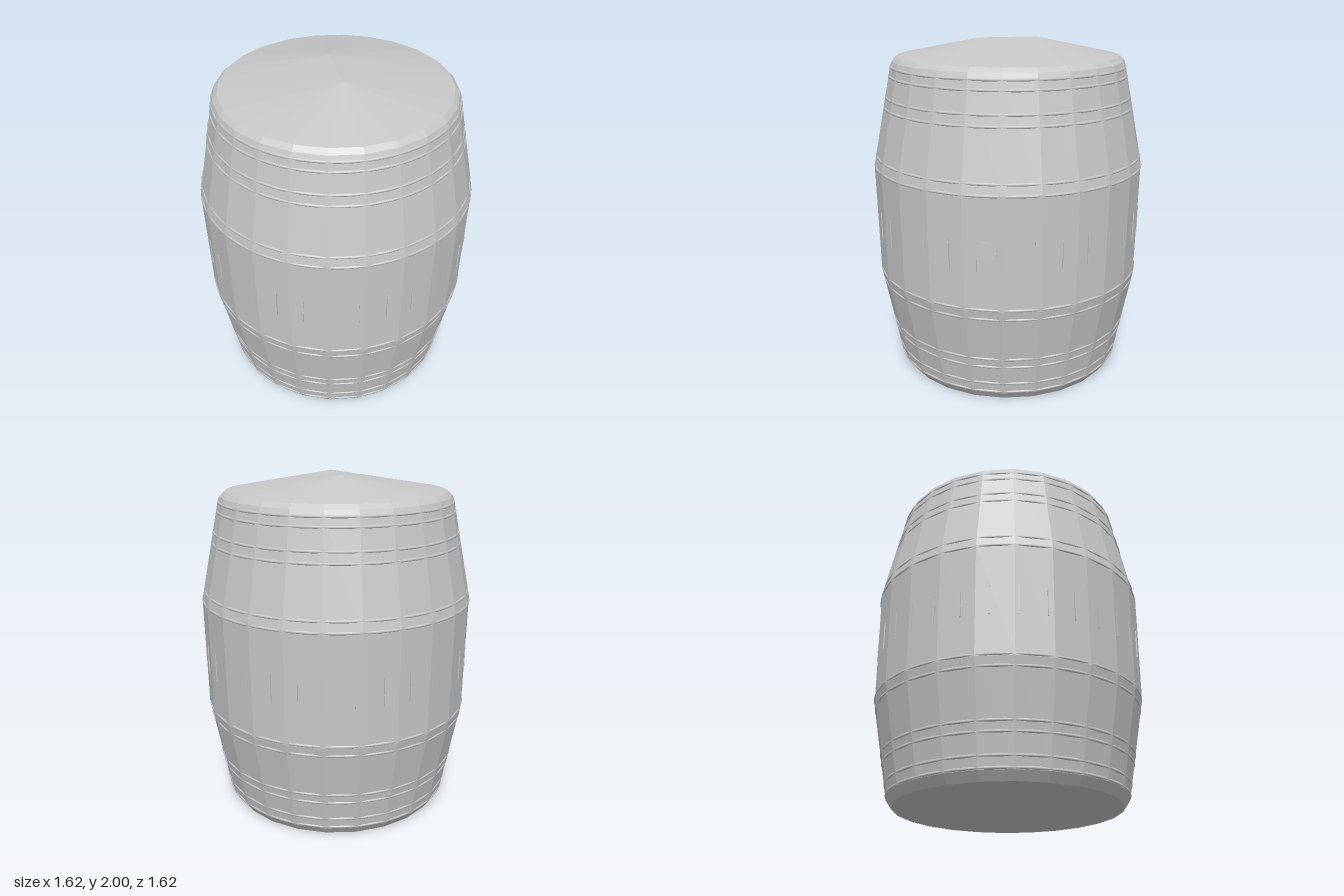
import * as THREE from 'three';

const SIDES = 24;
// barrel profile from bottom to top: [radius, height]
const PROFILE = [[0, 0], [0.66, 0], [0.695, 0.05], [0.8, 0.61], [0.81, 1.27], [0.692, 1.85], [0.682, 1.875], [0.655, 1.9]];

// hull radius at a given height
function radiusAt(y) {
  for (let i = 2; i < PROFILE.length; i++) {
    const [r0, y0] = PROFILE[i - 1], [r1, y1] = PROFILE[i];
    if (y <= y1) return r0 + (r1 - r0) * (y - y0) / (y1 - y0);
  }
  return PROFILE[PROFILE.length - 1][0];
}

function faceted(geometry) {
  const flat = geometry.index ? geometry.toNonIndexed() : geometry;
  flat.computeVertexNormals();
  return flat;
}

// shallow lid rising to a short ridge along z
function lidGeometry() {
  const [r, y] = PROFILE[PROFILE.length - 1];
  const front = [0, 2, 0.17], back = [0, 2, -0.17];
  const rim = (i) => {
    const a = (i / SIDES) * Math.PI * 2;
    return [r * Math.sin(a), y, r * Math.cos(a)];
  };
  const points = [];
  for (let i = 0; i < SIDES; i++) {
    const isFront = i < SIDES / 4 || i >= SIDES * 3 / 4;
    points.push(...rim(i), ...rim(i + 1), ...(isFront ? front : back));
  }
  points.push(...rim(SIDES / 4), ...back, ...front);
  points.push(...rim(SIDES * 3 / 4), ...front, ...back);
  const g = new THREE.BufferGeometry();
  g.setAttribute('position', new THREE.Float32BufferAttribute(points, 3));
  return faceted(g);
}

export function createModel() {
  const model = new THREE.Group();
  model.name = 'barrel';
  const grey = new THREE.MeshStandardMaterial({ color: 0xc8c8c8 });
  grey.name = 'light grey';

  const add = (name, geometry, parent = model) => {
    const mesh = new THREE.Mesh(geometry, grey);
    mesh.name = name;
    parent.add(mesh);
    return mesh;
  };

  // faceted body with closed bottom
  const profile = PROFILE.map(([r, y]) => new THREE.Vector2(r, y));
  add('body', faceted(new THREE.LatheGeometry(profile, SIDES)));
  add('lid', lidGeometry());

  // round hoop edges that just break through the middle of each facet
  const hoops = new THREE.Group();
  hoops.name = 'hoops';
  model.add(hoops);
  for (const y of [0.06, 0.12, 0.235, 0.29, 0.56, 0.62, 1.265, 1.325, 1.61, 1.67, 1.79, 1.842]) {
    const radius = radiusAt(y) * Math.cos(Math.PI / SIDES) - 0.002;
    const hoop = add('hoopEdge', new THREE.TorusGeometry(radius, 0.009, 8, 96), hoops);
    hoop.rotation.x = Math.PI / 2;
    hoop.position.y = y;
  }

  // fine stave edges around the belly
  const staves = new THREE.Group();
  staves.name = 'staveEdges';
  model.add(staves);
  for (let i = 0; i < 32; i++) {
    const a = (9 + i * 11.25) * Math.PI / 180;
    const edge = add('staveEdge', new THREE.BoxGeometry(0.006, 0.17, 0.008), staves);
    edge.position.set(0.8 * Math.sin(a), 0.93, 0.8 * Math.cos(a));
    edge.rotation.y = a;
  }

  // bung on the left side
  const angle = Math.atan2(0.29, 0.75);
  const bung = add('bung', new THREE.CylinderGeometry(0.062, 0.062, 0.03, 24));
  bung.rotation.set(0, angle, -Math.PI / 2, 'YXZ');
  bung.rotation.y = -angle;
  bung.position.set(0.79 * Math.cos(angle), 0.955, 0.79 * Math.sin(angle));

  return model;
}
